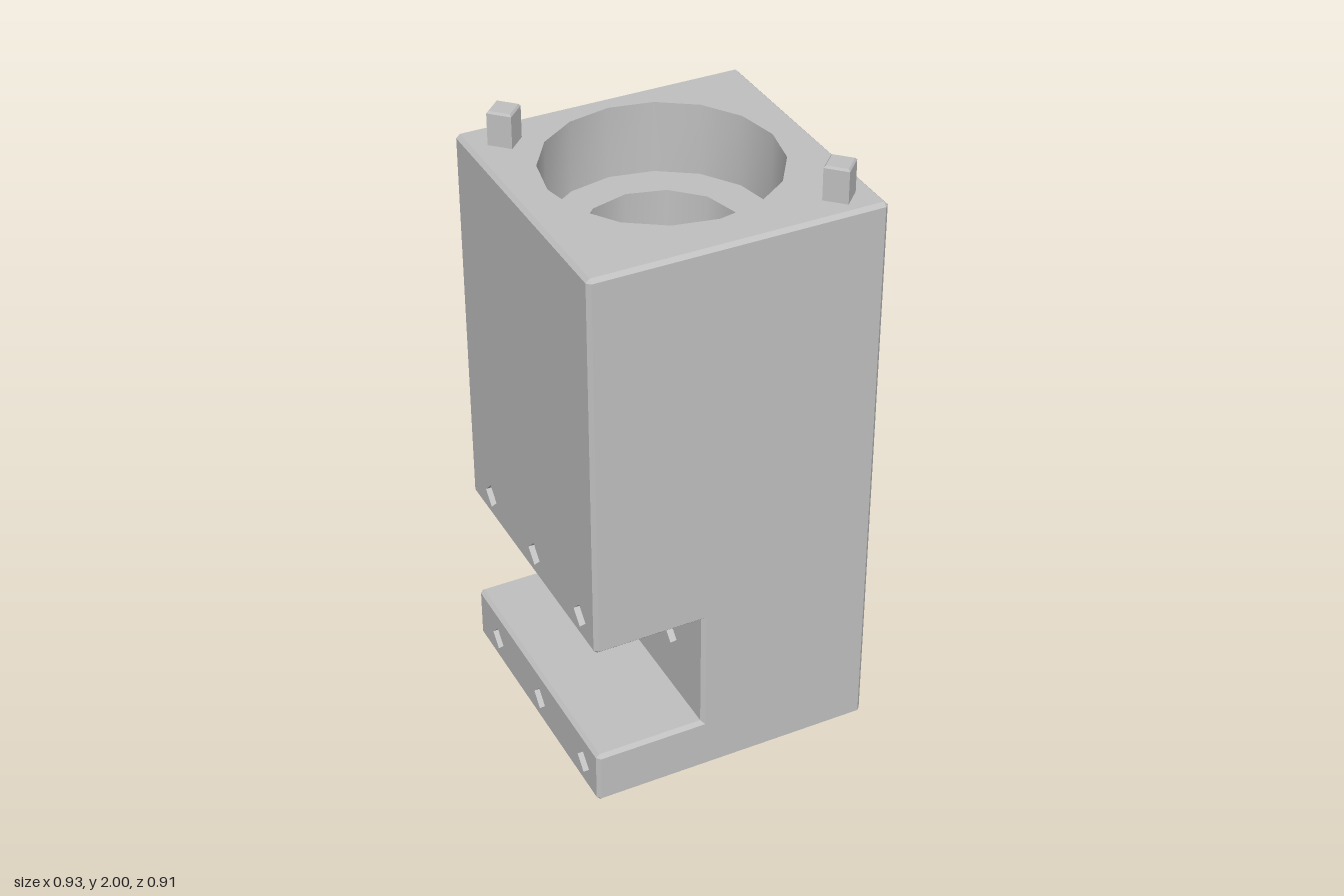
import * as THREE from 'three';
import { mergeGeometries, toCreasedNormals } from 'three/addons/utils/BufferGeometryUtils.js';

const V2 = (x, y) => new THREE.Vector2(x, y);
const Z = 0.457; // half depth of the body
const C = 0.012; // chamfer on the outer edges

// A pocket: polygon of n sides at (along the wall, z). "long" stretches it into a slot.
const pocket = (at, z, r, n, depth, { inner = [], long = 0, open = false } = {}) =>
  ({ at, z, r, n, depth, inner, long, open });

// C-shaped side profile, anticlockwise, with the pockets cut in the wall after each corner
const corners = [V2(-0.467, 0), V2(0.465, 0), V2(0.465, 1.89), V2(-0.467, 1.89),
  V2(-0.467, 0.59), V2(-0.11, 0.59), V2(-0.11, 0.185), V2(-0.467, 0.185)];

const rowOfHoles = (y) => [-0.31, 0.02, 0.35].map((z) => pocket(y, z, 0.042, 4, 0.15));

const pockets = {
  // peg sockets underneath
  0: [pocket(0.31, -0.315, 0.05, 4, 0.13), pocket(0.31, 0.315, 0.05, 4, 0.13)],
  // cable slot and screw holes
  1: [
    pocket(0.77, -0.03, 0.036, 4, 0.2, { long: 0.097 }),
    pocket(0.565, 0.11, 0.046, 4, 0.15),
    pocket(0.565, -0.17, 0.046, 4, 0.15),
    pocket(0.518, -0.03, 0.035, 4, 0.2),
    pocket(0.36, -0.03, 0.035, 4, 0.115, { open: true }),
  ],
  // stepped well with a drain hole in its floor
  2: [pocket(0, -0.036, 0.36, 16, 0.235, { inner: [
    pocket(0, -0.036, 0.245, 12, 0.755, { inner: [pocket(0.166, -0.036, 0.074, 8, 0.34)] }),
  ] })],
  3: rowOfHoles(0.665),
  // side bore in the notch, with a screw hole on either side
  5: [
    pocket(0.385, -0.03, 0.165, 8, 0.46, { inner: [pocket(0.36, -0.03, 0.035, 4, 0, { open: true })] }),
    pocket(0.385, -0.3, 0.042, 4, 0.15),
    pocket(0.385, 0.24, 0.042, 4, 0.15),
  ],
  7: rowOfHoles(0.08),
};

function fromTriangles(points) {
  return new THREE.BufferGeometry().setFromPoints(points);
}

function pushQuad(list, a, b, c, d) {
  list.push(a, b, c, a, c, d);
}

function flatFace(outline, holes = []) {
  const shape = new THREE.Shape(outline);
  for (const h of holes) shape.holes.push(new THREE.Path(h));
  const g = new THREE.ShapeGeometry(shape).toNonIndexed();
  g.deleteAttribute('uv');
  g.deleteAttribute('normal');
  return g;
}

function pocketOutline({ at, z, r, n, long }, sign) {
  if (long) {
    return [[r + long, 0], [long, r], [-long, r], [-r - long, 0], [-long, -r], [long, -r]]
      .map(([u, v]) => V2(sign * at + u, z + v));
  }
  return Array.from({ length: n }, (_, k) => {
    const a = (k / n) * Math.PI * 2;
    return V2(sign * at + r * Math.cos(a), z + r * Math.sin(a));
  });
}

// A flat wall at height w in its own frame, with its pockets sunk below it
function wall(outline, list, sign, w, out) {
  const rims = list.map((p) => pocketOutline(p, sign));
  out.push(flatFace(outline, rims).translate(0, 0, w));
  list.forEach((p, k) => {
    if (!p.depth) return;
    const rim = rims[k];
    const tris = [];
    const at = (q, h) => new THREE.Vector3(q.x, q.y, h);
    rim.forEach((q, i) => {
      const next = rim[(i + 1) % rim.length];
      pushQuad(tris, at(q, w), at(next, w), at(next, w - p.depth), at(q, w - p.depth));
    });
    out.push(fromTriangles(tris));
    if (!p.open) wall(rim, p.inner, sign, w - p.depth, out);
  });
}

function bodyGeometry() {
  const n = corners.length;
  const parts = [];
  const edges = corners.map((p, i) => {
    const dir = corners[(i + 1) % n].clone().sub(p).normalize();
    return { p, dir, normal: V2(dir.y, -dir.x) };
  });
  edges.forEach((e, i) => {
    e.prev = edges[(i + n - 1) % n];
    e.next = edges[(i + 1) % n];
    e.convex = e.prev.dir.cross(e.dir) > 0;
    e.inset = e.p.clone().addScaledVector(e.normal, -C).addScaledVector(e.prev.normal, -C);
  });
  for (const e of edges) {
    e.start = e.p.clone().addScaledVector(e.dir, e.convex ? C : 0);
    e.end = e.next.p.clone().addScaledVector(e.dir, e.next.convex ? -C : 0);
  }

  // Walls around the profile
  edges.forEach((e, i) => {
    const local = [];
    const s0 = e.start.dot(e.dir), s1 = e.end.dot(e.dir), h = Z - C;
    wall([V2(s0, -h), V2(s1, -h), V2(s1, h), V2(s0, h)], pockets[i] || [], e.dir.x + e.dir.y, 0, local);
    const offset = e.p.dot(e.normal);
    const frame = new THREE.Matrix4().makeBasis(
      new THREE.Vector3(e.dir.x, e.dir.y, 0),
      new THREE.Vector3(0, 0, 1),
      new THREE.Vector3(e.normal.x, e.normal.y, 0),
    ).setPosition(e.normal.x * offset, e.normal.y * offset, 0);
    for (const g of local) parts.push(g.applyMatrix4(frame));
  });

  // Chamfers
  const tris = [];
  const v = (q, z) => new THREE.Vector3(q.x, q.y, z);
  for (const e of edges) {
    const f = Z - C;
    pushQuad(tris, v(e.start, f), v(e.end, f), v(e.next.inset, Z), v(e.inset, Z));
    pushQuad(tris, v(e.inset, -Z), v(e.next.inset, -Z), v(e.end, -f), v(e.start, -f));
    if (e.convex) {
      const a = e.prev.end, b = e.start;
      pushQuad(tris, v(a, -f), v(b, -f), v(b, f), v(a, f));
      tris.push(v(a, f), v(b, f), v(e.inset, Z));
      tris.push(v(b, -f), v(a, -f), v(e.inset, -Z));
    }
  }
  parts.push(fromTriangles(tris));

  // Front and back faces
  const outline = edges.map((e) => e.inset);
  parts.push(flatFace(outline).translate(0, 0, Z));
  parts.push(flatFace(outline.map((q) => V2(-q.x, q.y)).reverse()).rotateY(Math.PI).translate(0, 0, -Z));

  return toCreasedNormals(mergeGeometries(parts), 0.6);
}

export function createModel() {
  const group = new THREE.Group();
  const grey = new THREE.MeshStandardMaterial({ color: 0xc0c0c0, side: THREE.DoubleSide });
  grey.name = 'light grey';

  const body = new THREE.Mesh(bodyGeometry(), grey);
  body.name = 'body';
  group.add(body);

  // Four-sided locating pegs on opposite corners of the top
  const profile = [V2(0.054, 1.88), V2(0.054, 1.993), V2(0.047, 2), V2(0, 2)];
  const pegGeometry = toCreasedNormals(new THREE.LatheGeometry(profile, 4), 0.5);
  for (const [name, x, z] of [['backRightPeg', -0.355, -0.347], ['frontLeftPeg', 0.355, 0.362]]) {
    const peg = new THREE.Mesh(pegGeometry, grey);
    peg.name = name;
    peg.position.set(x, 0, z);
    group.add(peg);
  }
  return group;
}
